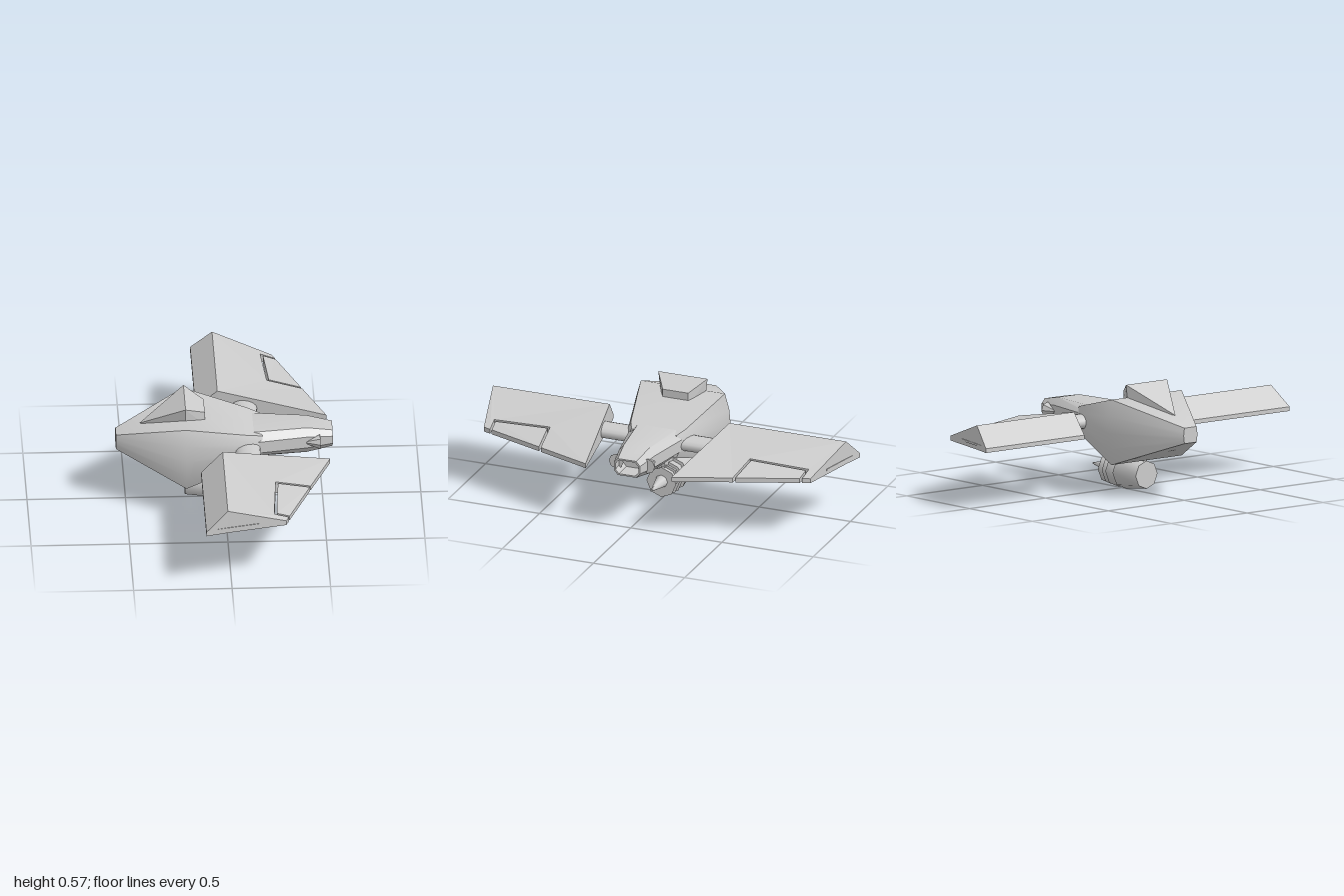
import * as THREE from 'three';
import { toCreasedNormals } from 'three/addons/utils/BufferGeometryUtils.js';
import { ConvexGeometry } from 'three/addons/geometries/ConvexGeometry.js';

const grey = new THREE.MeshStandardMaterial({ color: 0xcccccc, side: THREE.DoubleSide });

// Cross-sections as unit [z, y] loops
const hullSection = [[1, 0], [0.97, 0.5], [0.88, 1], [0, 1], [-0.88, 1], [-0.97, 0.5],
  [-1, 0], [-0.97, -0.5], [-0.88, -1], [0, -1], [0.88, -1], [0.97, -0.5]];
const boxSection = [[1, -0.45], [1, 0.45], [0.7, 1], [-0.7, 1], [-1, 0.45], [-1, -0.45], [-0.7, -1], [0.7, -1]];
const octagon = Array.from({ length: 8 }, (_, i) => [Math.cos(i * Math.PI / 4), Math.sin(i * Math.PI / 4)]);

// Capped skin along x through rings of [x, centreY, halfHeight, halfWidth, centreZ]
function loft(section, rings, crease) {
  const n = section.length, pos = [], idx = [];
  for (const [x, cy, hy, hz, cz = 0] of rings)
    for (const [z, y] of section) pos.push(x, cy + y * hy, cz + z * hz);
  const last = rings.length - 1;
  for (const r of [0, last]) pos.push(rings[r][0], rings[r][1], rings[r][4] || 0);
  const startCentre = n * rings.length, endCentre = startCentre + 1;
  for (let j = 0; j < n; j++) {
    const k = (j + 1) % n;
    for (let i = 0; i < last; i++) {
      const a = i * n + j, b = i * n + k;
      idx.push(a, a + n, b, b, a + n, b + n);
    }
    idx.push(startCentre, j, k, endCentre, last * n + k, last * n + j);
  }
  const g = new THREE.BufferGeometry();
  g.setAttribute('position', new THREE.Float32BufferAttribute(pos, 3));
  g.setIndex(idx);
  return toCreasedNormals(g, crease);
}

// Upper surface of the wing: nose rises to a ridge, then falls to the trailing edge
function wingTop(x, z) {
  if (x <= -0.02) return THREE.MathUtils.mapLinear(x, -0.13, -0.02, 0.328, 0.43);
  const trail = 0.53 - 0.25 * (z - 0.23) / 0.665;
  return THREE.MathUtils.lerp(0.43, 0.33, Math.min(1, (x + 0.02) / (trail + 0.02)));
}

// Slab from an [x, z] outline, its top following the wing surface
function wingPanel(outline, side) {
  const shape = new THREE.Shape(outline.map(([x, z]) => new THREE.Vector2(x, -z * side)));
  const g = new THREE.ExtrudeGeometry(shape, { depth: 1, bevelEnabled: false });
  g.rotateX(-Math.PI / 2);
  const p = g.attributes.position;
  for (let i = 0; i < p.count; i++)
    p.setY(i, p.getY(i) > 0.5 ? wingTop(p.getX(i), Math.abs(p.getZ(i))) : 0.306);
  g.computeVertexNormals();
  return g;
}

export function createModel() {
  const model = new THREE.Group();
  const add = (name, geometry, parent = model) => {
    const mesh = new THREE.Mesh(geometry, grey);
    mesh.name = name;
    parent.add(mesh);
    return mesh;
  };

  // Main hull, widest behind the nose
  add('hull', loft(hullSection, [
    [-0.55, 0.345, 0.04, 0.045],
    [-0.2, 0.338, 0.168, 0.262],
    [0.13, 0.346, 0.079, 0.17],
    [0.19, 0.347, 0.062, 0.14]], 1.0));

  // Tail body with a hollow nozzle
  add('tailBody', loft(boxSection, [
    [-0.04, 0.352, 0.068, 0.185],
    [0.42, 0.352, 0.069, 0.098],
    [0.55, 0.351, 0.045, 0.072],
    [0.55, 0.351, 0.037, 0.063],
    [0.42, 0.351, 0.05, 0.08]], 0.6));

  // Faceted cabin on the back
  const cabin = [[-0.43, 0.43, 0]];
  for (const s of [-1, 1])
    cabin.push([-0.2, 0.572, 0.135 * s], [-0.1, 0.522, 0.07 * s], [-0.1, 0.45, 0.07 * s], [-0.2, 0.46, 0.122 * s]);
  add('cabin', new ConvexGeometry(cabin.map(p => new THREE.Vector3(...p))));

  // Spar joining both wings through the hull
  const spar = new THREE.CylinderGeometry(1, 1, 0.7, 16);
  spar.rotateX(Math.PI / 2).scale(0.065, 0.038, 1).translate(0.115, 0.347, 0);
  add('wingSpar', spar);

  for (const side of [1, -1]) {
    const wing = new THREE.Group();
    wing.name = side > 0 ? 'leftWing' : 'rightWing';
    model.add(wing);
    add('leadingEdge', wingPanel([[-0.13, 0.352], [-0.02, 0.328], [-0.02, 0.968], [-0.13, 1]], side), wing);
    // Wing panel with a notch for the flap
    add('mainPanel', wingPanel([[-0.02, 0.328], [0.53, 0.235], [0.419, 0.526], [0.24, 0.548],
      [0.22, 0.862], [0.295, 0.855], [0.28, 0.895], [-0.02, 0.968]], side), wing);
    add('flap', wingPanel([[0.414, 0.538], [0.251, 0.558], [0.233, 0.85], [0.299, 0.844]], side), wing);
    // Thin strip along the wing tip
    const strip = add('tipStrip', new THREE.BoxGeometry(0.23, 0.01, 0.006), wing);
    strip.position.set(0.035, 0.331, 0.955 * side);
    strip.rotation.y = 0.24 * side;

    // Small side thruster beside the nozzle
    add('sideThruster', loft(octagon, [
      [0.4, 0.35, 0.002, 0.002, 0.092 * side],
      [0.485, 0.35, 0.04, 0.04, 0.086 * side]], 0.4));
  }

  // Pylon carrying the engine
  const pylon = new THREE.ExtrudeGeometry(new THREE.Shape([[-0.19, 0.16], [0.065, 0.16], [0.08, 0.29], [-0.19, 0.29]]
    .map(p => new THREE.Vector2(...p))), { depth: 0.02, bevelEnabled: false });
  add('pylon', pylon.translate(0, 0, -0.01));

  // Engine with stepped petals and an exhaust cone
  const engine = [[-0.2, 0.072], [-0.04, 0.092], [-0.04, 0.075], [0.02, 0.09], [0.02, 0.074],
    [0.053, 0.086], [0.053, 0.072], [0.09, 0.081], [0.09, 0.034], [0.225, 0.004]];
  add('engine', loft(octagon, engine.map(([x, r], i) =>
    [x, i < 8 ? 0.095 : 0.1, r, r]), 0.9));

  return model;
}
